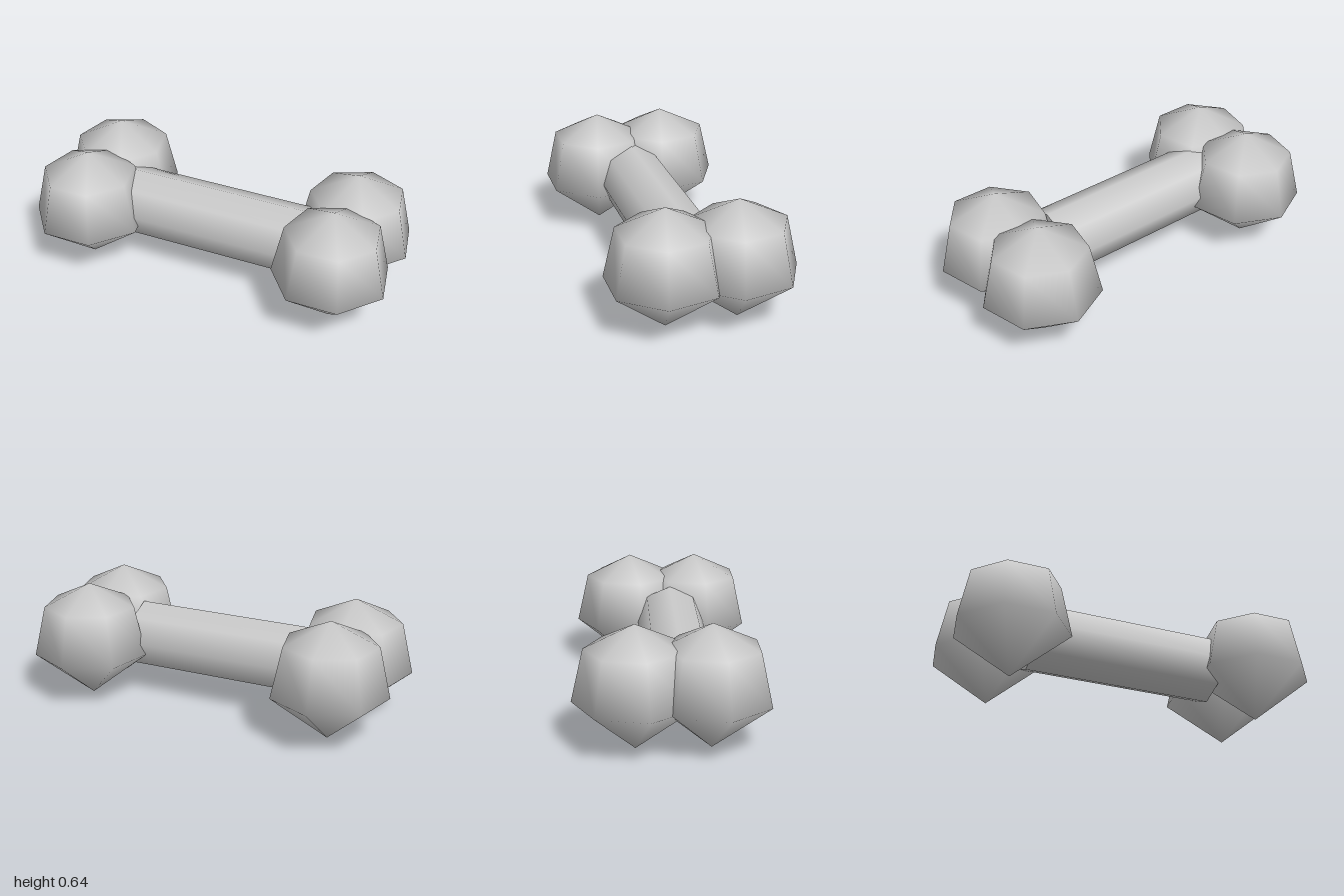
import * as THREE from 'three';
import { mergeVertices } from 'three/addons/utils/BufferGeometryUtils.js';

// Seven-sided knob: rings at multiples of 1/7 turn, closed by a long cone below.
function knobGeometry(radius) {
  const step = (Math.PI * 2) / 7;
  const profile = [Math.PI, step * 2, step, 0].map(
    (a) => new THREE.Vector2(Math.abs(Math.sin(a)) < 1e-6 ? 0 : radius * Math.sin(a), radius * Math.cos(a))
  );
  const lathe = new THREE.LatheGeometry(profile, 7, Math.PI);
  lathe.deleteAttribute('normal');
  lathe.deleteAttribute('uv');
  const geometry = mergeVertices(lathe, 1e-4);
  geometry.computeVertexNormals();
  return geometry;
}

export function createModel() {
  const group = new THREE.Group();
  group.name = 'bone';
  const material = new THREE.MeshStandardMaterial({ color: 0xcccccc });

  // Shaft: eight-sided, with a corner at the bottom, lying along x
  const left = 0.485;
  const right = -0.56;
  const shaft = new THREE.Mesh(new THREE.CylinderGeometry(0.185, 0.185, left - right, 8), material);
  shaft.name = 'shaft';
  shaft.rotation.z = Math.PI / 2;
  shaft.position.set((left + right) / 2, 0.31, 0.05);
  group.add(shaft);

  // Two overlapping knobs at each end
  const radius = 0.318;
  const geometry = knobGeometry(radius);
  for (const [side, x] of [['left', 0.695], ['right', -0.695]]) {
    for (const [end, z] of [['front', 0.2], ['back', -0.175]]) {
      const knob = new THREE.Mesh(geometry, material);
      knob.name = `${end} ${side} knob`;
      knob.position.set(x, radius, z);
      group.add(knob);
    }
  }
  return group;
}
